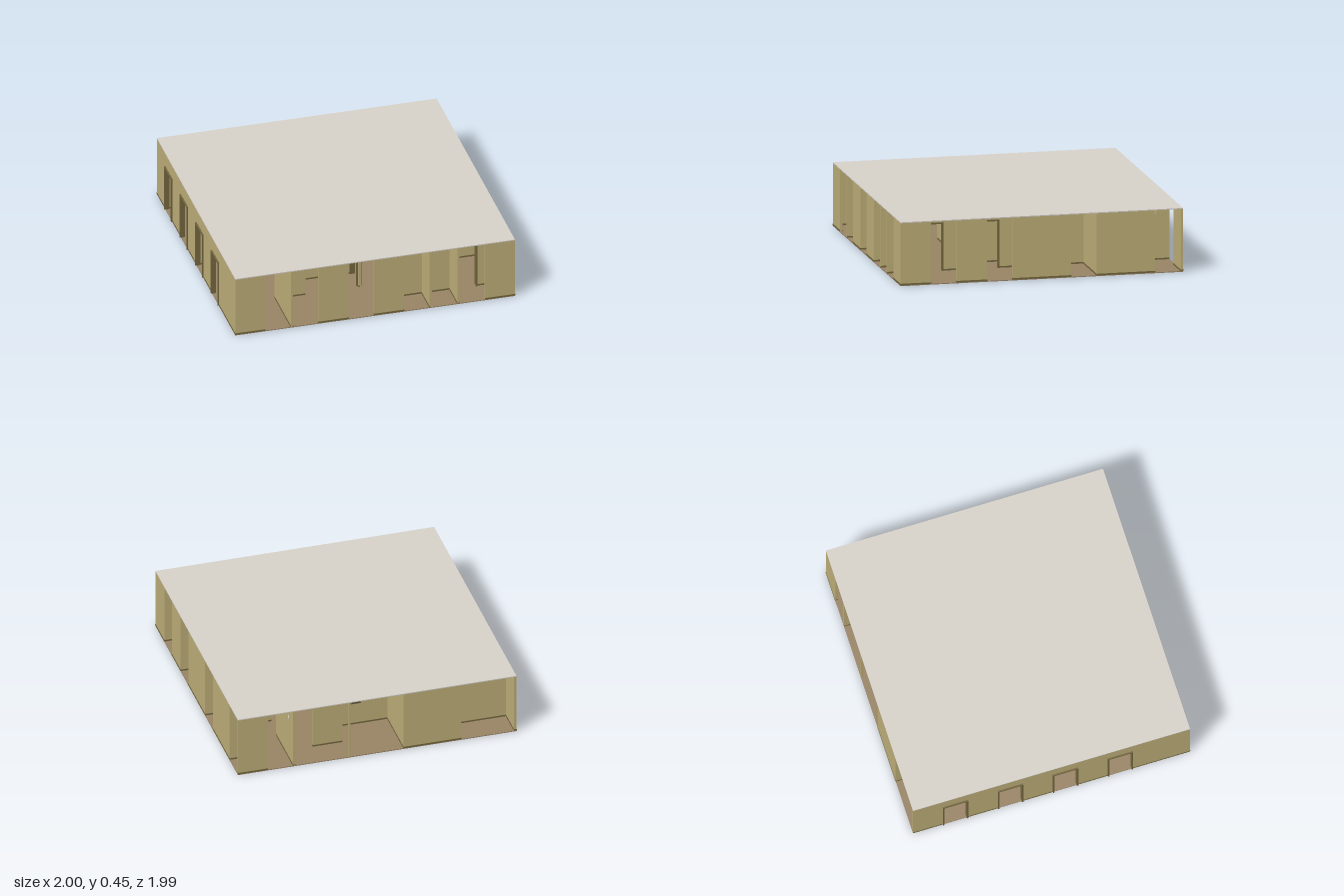
import * as THREE from 'three';

const mat = (name, color) => Object.assign(new THREE.MeshStandardMaterial({ color }), { name });
const wallMat = mat('yellow wall', 0xc0b07a);
const ceilingMat = mat('pale ceiling', 0xd8d4cb);
const floorMat = mat('brown carpet', 0x9a8566);
const trimMat = mat('wood trim', 0x75683f);
const ventMat = mat('dark vent', 0x5a5138);
const plateMat = mat('white plate', 0xe8e6dc);

const CELL = 0.197, T = 0.016, FLOOR = 0.006, TOP = 0.44;
const DOOR_H = 0.335, DOOR_W = 0.17;
const gx = i => -0.982 + CELL * i;
const gz = j => -0.985 + CELL * j;

// Walls along z: [grid line, first row, end row, rows with a doorway]
const alongZ = [
  [0, 0, 10, [1, 3, 5, 7]],
  [10, 1, 3], [10, 4, 6], [10, 7, 8], [10, 9, 10],
  [8, 0, 2], [8, 3, 4], [8, 5, 10, [6, 8]],
  [7, 9, 10], [7, 5, 7], [6, 9, 10], [6, 3, 5],
  [5, 6, 8, [7]], [4, 8, 10], [4, 0, 2],
  [3, 2, 4], [2, 8, 10], [2, 0, 1], [2, 4, 5],
];
// Walls along x: [grid line, first column, end column, columns with a doorway]
const alongX = [
  [0, 9, 10], [0, 2, 4],
  [10, 0, 1], [10, 3, 4], [10, 5, 6], [10, 9, 10],
  [9, 6, 10, [8]], [8, 2, 3], [7, 8, 10], [7, 3, 5],
  [6, 1, 3], [5, 0, 2], [4, 8, 10], [4, 3, 6],
  [3, 8, 10], [3, 1, 3], [2, 4, 6],
  [1, 9, 10], [1, 6, 7], [1, 0, 2],
];

export function createModel() {
  const model = new THREE.Group();
  model.name = 'roomMaze';

  const box = (parent, name, m, w, h, d, x, y, z) => {
    const mesh = new THREE.Mesh(new THREE.BoxGeometry(w, h, d), m);
    mesh.name = name;
    mesh.position.set(x, y, z);
    parent.add(mesh);
  };

  // Floor and ceiling slabs
  box(model, 'floor', floorMat, 1.986, FLOOR, 1.986, 0.003, FLOOR / 2, 0);
  box(model, 'ceiling', ceilingMat, 1.986, 0.007, 1.986, 0.003, TOP + 0.0035, 0);

  // A wall is built along local x from 0, then turned when it runs along z
  const addWall = (turned, line, start, end, doors = []) => {
    const wall = new THREE.Group();
    wall.name = 'wall';
    const at = turned ? [gx(line), 0, gz(start)] : [gx(start), 0, gz(line)];
    wall.position.set(...at);
    if (turned) wall.rotation.y = -Math.PI / 2;
    model.add(wall);

    const solid = (a, b) => {
      const w = b - a, c = (a + b) / 2;
      box(wall, 'wallPanel', wallMat, w, TOP - FLOOR, T, c, (TOP + FLOOR) / 2, 0);
      box(wall, 'baseboard', trimMat, w, 0.011, T + 0.005, c, FLOOR + 0.0055, 0);
    };

    let from = -T / 2;
    for (const cell of doors) {
      const mid = (cell - start + 0.5) * CELL;
      const a = mid - DOOR_W / 2, b = mid + DOOR_W / 2;
      solid(from, a);
      from = b;
      // Lintel and door frame
      box(wall, 'lintel', wallMat, DOOR_W, TOP - DOOR_H, T, mid, (TOP + DOOR_H) / 2, 0);
      const depth = T + 0.02;
      for (const x of [a, b])
        box(wall, 'doorJamb', trimMat, 0.01, DOOR_H - FLOOR, depth, x, (DOOR_H + FLOOR) / 2, 0);
      box(wall, 'doorHead', trimMat, DOOR_W + 0.01, 0.01, depth, mid, DOOR_H + 0.005, 0);
    }
    solid(from, (end - start) * CELL + T / 2);
  };
  alongZ.forEach(w => addWall(true, ...w));
  alongX.forEach(w => addWall(false, ...w));

  // Lone post at the back opening
  box(model, 'post', wallMat, T, TOP - FLOOR, T, gx(6), (TOP + FLOOR) / 2, gz(0));

  // Fittings sit on a wall; dir is the outward direction [x, z]
  const fitting = (name, x, y, z, [dx, dz], build) => {
    const g = new THREE.Group();
    g.name = name;
    g.position.set(x + dx * T / 2, y, z + dz * T / 2);
    g.rotation.y = Math.atan2(dx, dz);
    build(g);
    model.add(g);
  };
  const vent = g => {
    box(g, 'ventFrame', trimMat, 0.07, 0.045, 0.006, 0, 0, 0.003);
    for (let k = -1; k <= 1; k++)
      box(g, 'ventSlat', ventMat, 0.058, 0.008, 0.004, 0, k * 0.013, 0.007);
  };
  const panel = g => {
    box(g, 'panelBox', trimMat, 0.07, 0.1, 0.02, 0, 0, 0.01);
    box(g, 'panelDoor', ventMat, 0.058, 0.088, 0.004, 0, 0, 0.021);
  };
  const plate = g => box(g, 'coverPlate', plateMat, 0.016, 0.018, 0.004, 0, 0, 0.002);

  // Air vents near the ceiling
  fitting('vent', gx(9.3), 0.39, gz(4), [0, -1], vent);
  fitting('vent', gx(8), 0.39, gz(0.75), [1, 0], vent);
  fitting('vent', gx(4), 0.39, gz(1), [1, 0], vent);
  fitting('vent', gx(1), 0.39, gz(1), [0, -1], vent);
  fitting('vent', gx(2), 0.4, gz(9), [-1, 0], vent);

  // Wall boxes
  fitting('wallBox', gx(8), 0.23, gz(0.9), [-1, 0], panel);
  fitting('wallBox', gx(5.2), 0.23, gz(2), [0, -1], panel);

  // Switches and sockets
  fitting('lightSwitch', gx(8), 0.335, -0.885, [1, 0], plate);
  fitting('lightSwitch', 0.648, 0.25, gz(9), [0, 1], plate);
  fitting('socket', -0.71, 0.055, gz(6), [0, 1], plate);
  fitting('socket', -0.06, 0.055, gz(7), [0, 1], plate);

  return model;
}
